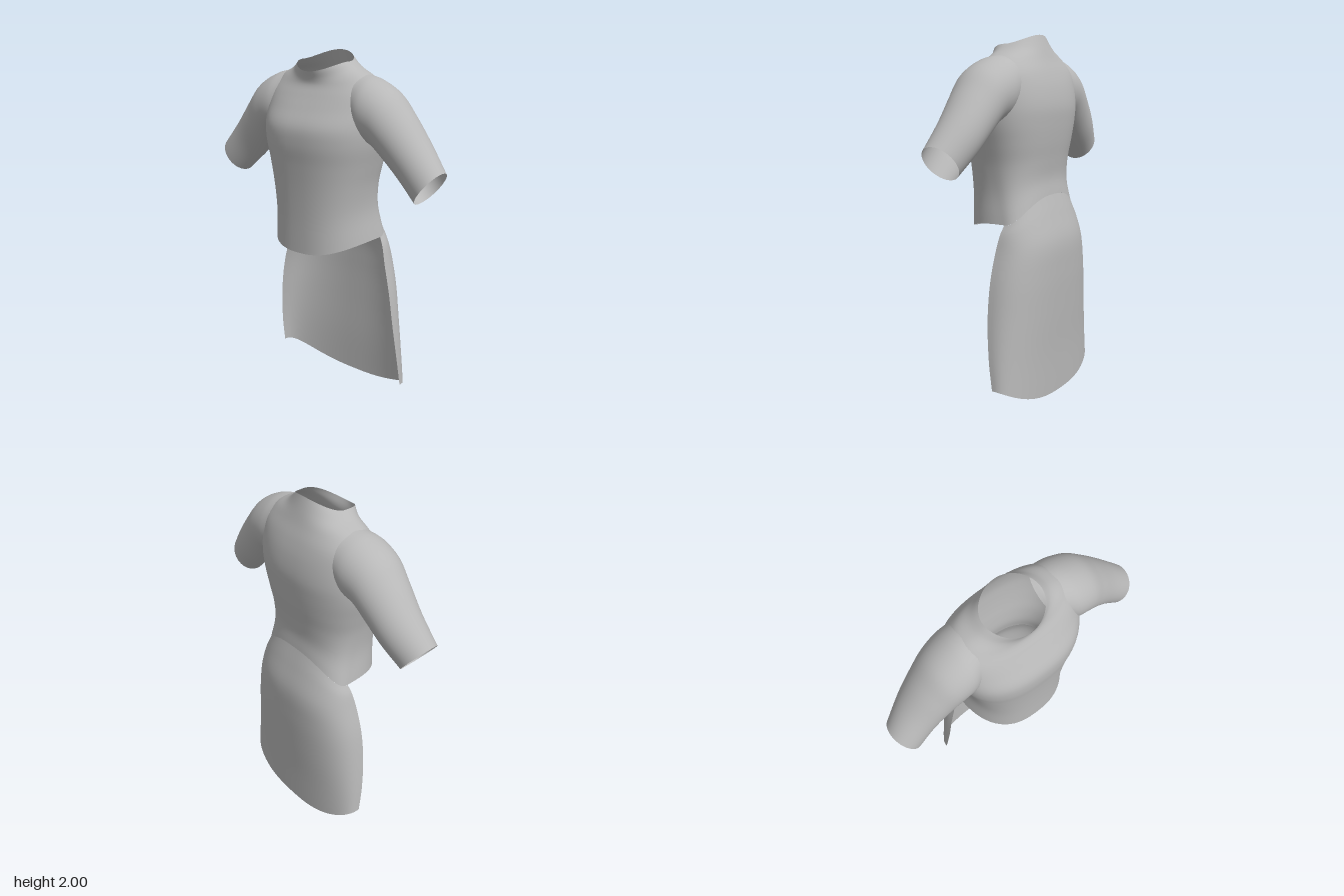
import * as THREE from 'three';

const fabric = new THREE.MeshStandardMaterial({ color: 0xb8b8b8, side: THREE.DoubleSide });
fabric.name = 'grey fabric';

// Skin a surface over cross-sections, smoothing along its length
function loft(name, rings, closed, steps) {
  const n = rings[0].length;
  const columns = rings[0].map((_, j) => new THREE.CatmullRomCurve3(rings.map(r => r[j])));
  const pos = [], idx = [];
  for (let i = 0; i <= steps; i++) {
    for (const c of columns) pos.push(...c.getPoint(i / steps).toArray());
  }
  const spans = closed ? n : n - 1;
  for (let i = 0; i < steps; i++) {
    for (let j = 0; j < spans; j++) {
      const a = i * n + j, b = i * n + (j + 1) % n;
      idx.push(a, b, b + n, a, b + n, a + n);
    }
  }
  const geo = new THREE.BufferGeometry();
  geo.setAttribute('position', new THREE.Float32BufferAttribute(pos, 3));
  geo.setIndex(idx);
  geo.computeVertexNormals();
  const mesh = new THREE.Mesh(geo, fabric);
  mesh.name = name;
  return mesh;
}

// Tilted body section: half width, side (y, z), front (y, z), back (y, z)
function bodyPoint([w, ys, zs, yf, zf, yb, zb], a, p) {
  const s = Math.sin(a), c = Math.cos(a);
  const round = Math.pow(Math.abs(c), p);
  const y = c > 0 ? yf : yb, z = c > 0 ? zf : zb;
  return new THREE.Vector3(
    w * Math.sign(s) * Math.pow(Math.abs(s), p),
    ys + (y - ys) * c * c,
    zs + (z - zs) * round
  );
}

const HEM = [0.31, 1.0, -0.08, 0.93, 0.26, 1.14, -0.2];

function torso() {
  const rows = [
    HEM,
    [0.29, 1.16, -0.03, 1.12, 0.258, 1.23, -0.19],
    [0.3, 1.3, 0, 1.29, 0.262, 1.33, -0.2],
    [0.325, 1.42, 0, 1.42, 0.27, 1.43, -0.215],
    [0.35, 1.53, 0, 1.53, 0.279, 1.53, -0.226],
    [0.36, 1.62, 0, 1.62, 0.27, 1.62, -0.23],
    [0.36, 1.72, 0, 1.71, 0.22, 1.72, -0.215],
    [0.345, 1.8, 0, 1.78, 0.178, 1.8, -0.19],
    [0.29, 1.87, 0, 1.83, 0.152, 1.87, -0.16],
    [0.205, 1.915, 0.01, 1.86, 0.152, 1.93, -0.137],
    [0.16, 1.95, 0.02, 1.9, 0.165, 2.0, -0.11],
  ];
  const n = 64;
  const rings = rows.map((r, i) => {
    const p = i < 8 ? 0.8 : 0.9 + (i - 8) * 0.05;
    return Array.from({ length: n }, (_, j) => bodyPoint(r, (j / n) * Math.PI * 2, p));
  });
  return loft('shirtBody', rings, true, 50);
}

// Open skirt panel hanging from the back of the hem
function backPanel() {
  const rows = [
    [0.46, 0.12, -0.1, 0.005, -0.253],
    [0.452, 0.28, -0.075, 0.25, -0.258],
    [0.43, 0.5, -0.053, 0.5, -0.27],
    [0.4, 0.7, -0.05, 0.72, -0.278],
    [0.36, 0.86, -0.058, 0.89, -0.274],
    [0.335, 0.95, -0.07, 1.03, -0.236],
  ].map(([w, ys, zs, yb, zb]) => [w, ys, zs, 0, 0, yb, zb]);
  rows.push(HEM);
  const n = 40;
  const rings = rows.map(r =>
    Array.from({ length: n + 1 }, (_, j) => bodyPoint(r, Math.PI * (0.5 + j / n), 0.8)));
  return loft('backSkirtPanel', rings, false, 36);
}

// Short sleeve, side = 1 for left and -1 for right
function sleeve(side) {
  const rows = [ // top (x, y), bottom (x, y), front z, back z
    [0.25, 1.89, 0.24, 1.58, 0.14, -0.16],
    [0.33, 1.872, 0.29, 1.545, 0.165, -0.165],
    [0.44, 1.815, 0.35, 1.525, 0.165, -0.155],
    [0.53, 1.72, 0.42, 1.465, 0.15, -0.14],
    [0.64, 1.585, 0.52, 1.37, 0.135, -0.117],
    [0.755, 1.445, 0.625, 1.27, 0.135, -0.075],
  ];
  const n = 40;
  const rings = rows.map(([tx, ty, bx, by, zf, zb]) =>
    Array.from({ length: n }, (_, j) => {
      const t = side * (j / n) * Math.PI * 2, k = (1 + Math.cos(t)) / 2;
      return new THREE.Vector3(
        side * (bx + (tx - bx) * k),
        by + (ty - by) * k,
        (zf + zb) / 2 + ((zf - zb) / 2) * Math.sin(t)
      );
    }));
  return loft(side > 0 ? 'leftSleeve' : 'rightSleeve', rings, true, 30);
}

export function createModel() {
  const group = new THREE.Group();
  group.name = 'shirtWithBackPanel';
  group.add(torso(), backPanel(), sleeve(1), sleeve(-1));
  return group;
}
